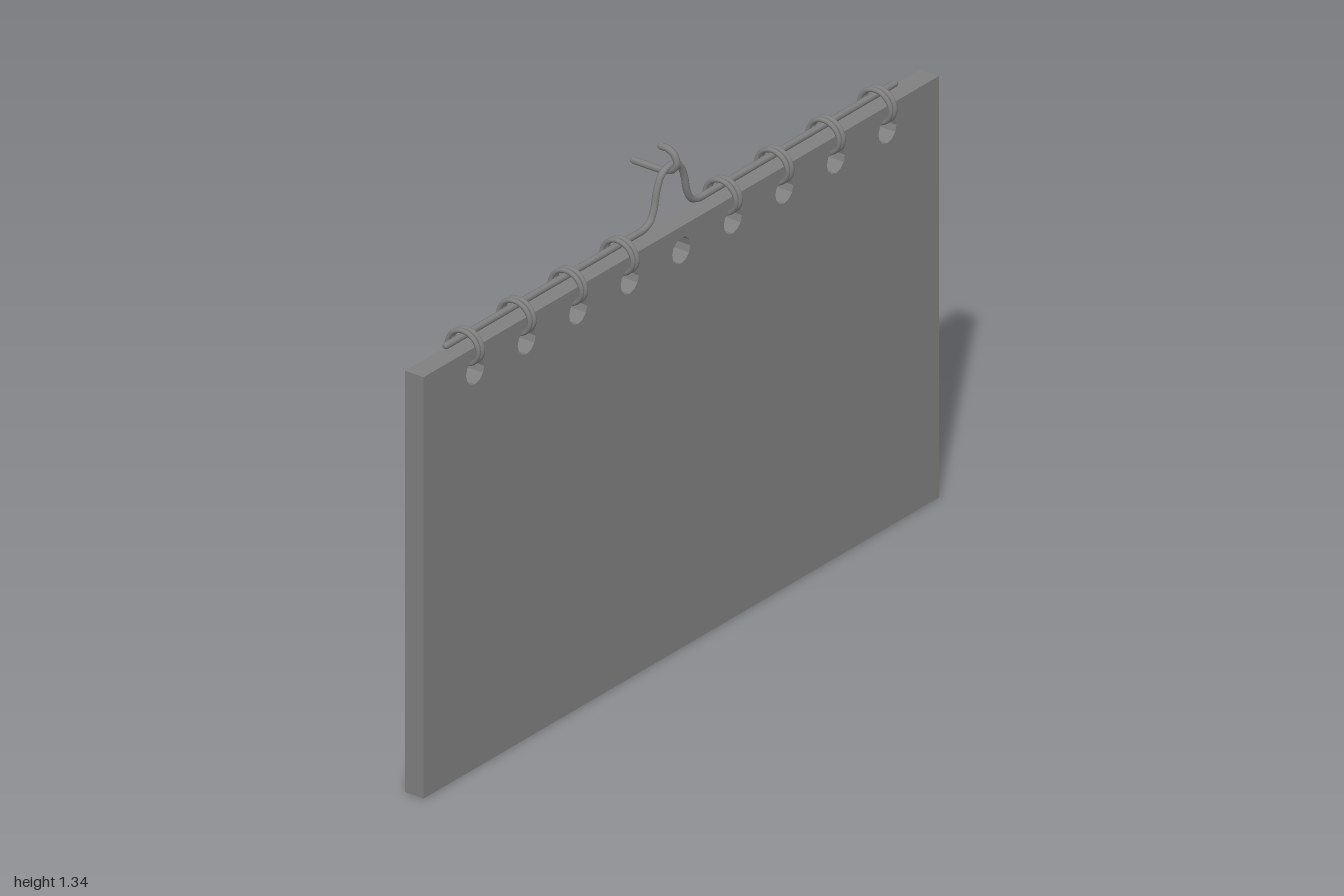
import * as THREE from 'three';

const V = (x, y, z) => new THREE.Vector3(x, y, z);

export function createModel() {
  const model = new THREE.Group();
  const grey = new THREE.MeshStandardMaterial({ color: 0x808080 });
  grey.name = 'grey';

  const add = (name, geometry, parent = model) => {
    const mesh = new THREE.Mesh(geometry, grey);
    mesh.name = name;
    parent.add(mesh);
    return mesh;
  };

  // Round wire along a curve, closed with small domed ends
  const wire = (name, curve, radius, segments) => {
    const group = new THREE.Group();
    group.name = name;
    add(name + 'Tube', new THREE.TubeGeometry(curve, segments, radius, 8), group);
    for (const t of [0, 1]) {
      add(name + 'End', new THREE.SphereGeometry(radius, 8, 6), group)
        .position.copy(curve.getPoint(t));
    }
    model.add(group);
    return group;
  };

  // Thick page block with a row of punched holes
  const page = new THREE.Shape();
  page.moveTo(-1, 0);
  page.lineTo(1, 0);
  page.lineTo(1, 1.13);
  page.lineTo(-1, 1.13);
  page.closePath();
  for (let i = -4; i <= 4; i++) {
    const hole = new THREE.Path();
    hole.absarc(i * 0.2, 1.066, 0.035, 0, Math.PI * 2, true);
    page.holes.push(hole);
  }
  const block = new THREE.ExtrudeGeometry(page, { depth: 0.056, bevelEnabled: false, curveSegments: 6 });
  block.translate(0, 0, 0.005);
  add('pageBlock', block);

  // Two-turn binding coils, leaving the middle hole free
  const coilPoints = [];
  for (let k = 0; k <= 40; k++) {
    const t = k / 40;
    const a = t * Math.PI * 4;
    coilPoints.push(V(-0.016 + 0.032 * t, 1.125 + 0.044 * Math.sin(a), 0.033 - 0.044 * Math.cos(a)));
  }
  const coilCurve = new THREE.CatmullRomCurve3(coilPoints);
  for (let i = -4; i <= 4; i++) {
    if (i !== 0) wire('bindingCoil', coilCurve, 0.0065, 64).position.x = i * 0.2;
  }

  // Hanger rod with a raised loop in the middle
  const half = [[0.87, 1.152], [0.5, 1.152], [0.15, 1.152], [0.105, 1.153], [0.078, 1.165],
    [0.063, 1.195], [0.052, 1.24], [0.034, 1.273]];
  const rodPoints = [
    ...half.map(([x, y]) => V(-x, y, 0.028)),
    V(0, 1.285, 0.028),
    ...half.slice().reverse().map(([x, y]) => V(x, y, 0.028)),
  ];
  wire('hangerRod', new THREE.CatmullRomCurve3(rodPoints, false, 'centripetal'), 0.009, 160);

  // Wall hook: straight shank running back, curling up at the front
  const hookPoints = [[-0.083, 1.263], [-0.03, 1.263], [0.01, 1.265], [0.033, 1.273],
    [0.047, 1.292], [0.041, 1.314], [0.022, 1.326], [0.0, 1.327]].map(([z, y]) => V(0, y, z));
  wire('wallHook', new THREE.CatmullRomCurve3(hookPoints, false, 'centripetal'), 0.009, 40);

  return model;
}
